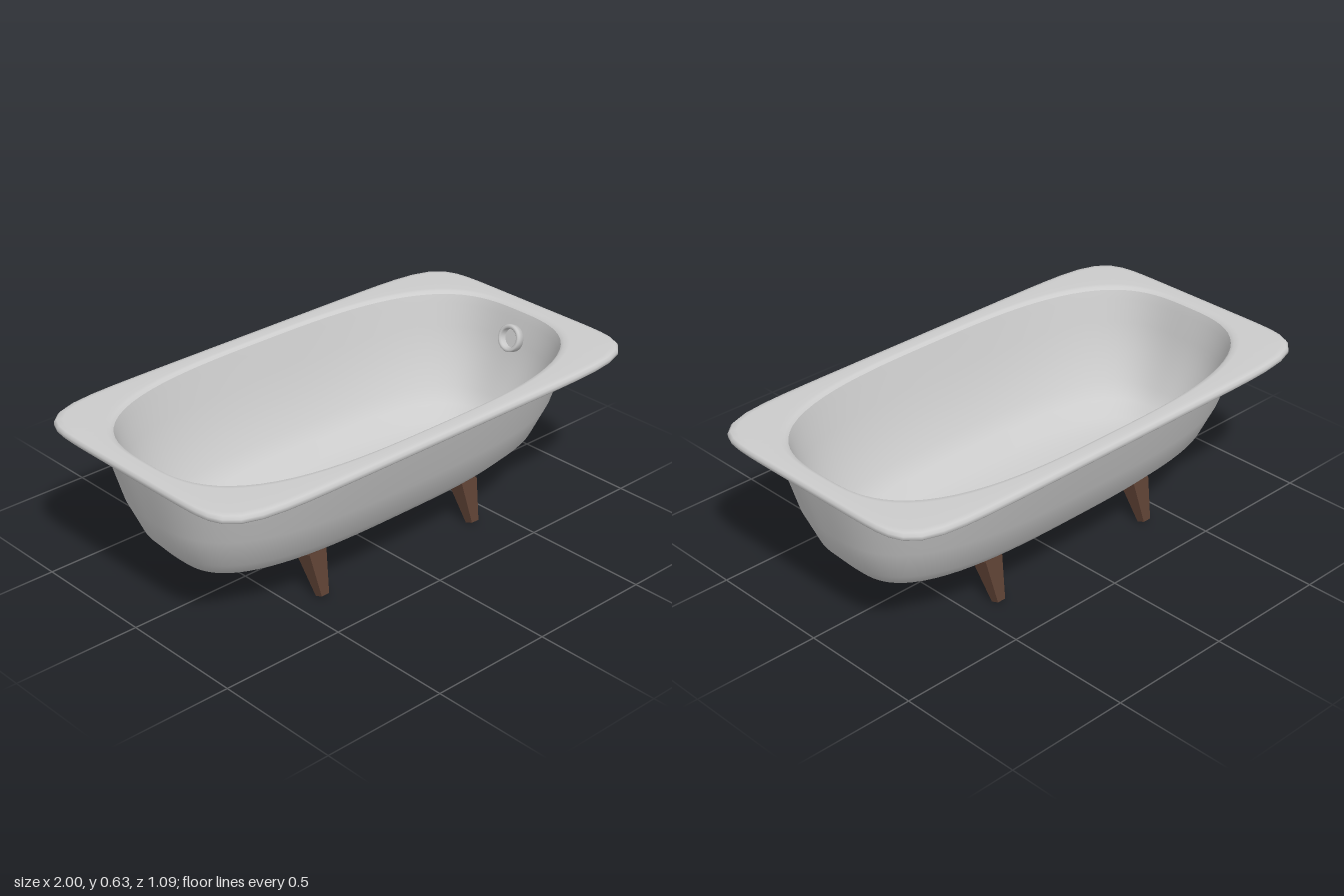
import * as THREE from 'three';

const SEGMENTS = 96;
const enamel = new THREE.MeshStandardMaterial({ color: 0xcccccc });
const wood = new THREE.MeshStandardMaterial({ color: 0x5c4033, flatShading: true });

// Skin a stack of superellipse rings [halfLength, halfWidth, y, squareness]
function loft(name, rings) {
  const positions = [], index = [];
  for (const [a, b, y, n] of rings) {
    for (let j = 0; j < SEGMENTS; j++) {
      const t = (j / SEGMENTS) * Math.PI * 2;
      const c = Math.cos(t), s = Math.sin(t);
      const r = Math.pow(Math.abs(c) ** n + Math.abs(s) ** n, -1 / n);
      positions.push(a * r * c, y, b * r * s);
    }
  }
  for (let i = 0; i < rings.length - 1; i++) {
    for (let j = 0; j < SEGMENTS; j++) {
      const k = (j + 1) % SEGMENTS;
      const p = i * SEGMENTS + j, q = i * SEGMENTS + k;
      index.push(p, p + SEGMENTS, q, q, p + SEGMENTS, q + SEGMENTS);
    }
  }
  const geometry = new THREE.BufferGeometry();
  geometry.setAttribute('position', new THREE.Float32BufferAttribute(positions, 3));
  geometry.setIndex(index);
  geometry.computeVertexNormals();
  const mesh = new THREE.Mesh(geometry, enamel);
  mesh.name = name;
  return mesh;
}

// Square leg tapering to the foot, splayed outwards
function leg(x, side) {
  const top = new THREE.Vector3(x, 0.165, side * 0.232);
  const foot = new THREE.Vector3(x, 0.008, side * 0.289);
  const axis = top.clone().sub(foot);
  const geometry = new THREE.BoxGeometry(0.08, axis.length(), 0.075);
  const p = geometry.attributes.position;
  for (let i = 0; i < p.count; i++) {
    if (p.getY(i) < 0) p.setXYZ(i, p.getX(i) * 0.44, p.getY(i), p.getZ(i) * 0.46);
  }
  geometry.computeVertexNormals();
  const mesh = new THREE.Mesh(geometry, wood);
  mesh.name = 'leg';
  mesh.position.copy(top).add(foot).multiplyScalar(0.5);
  mesh.quaternion.setFromUnitVectors(new THREE.Vector3(0, 1, 0), axis.normalize());
  return mesh;
}

export function createModel() {
  const tub = new THREE.Group();
  tub.name = 'bathtub';

  // Outside of the tub, from the bottom up
  tub.add(loft('outerShell', [
    [0, 0, 0.135, 3],
    [0.45, 0.08, 0.135, 3],
    [0.68, 0.17, 0.135, 3],
    [0.79, 0.29, 0.19, 3],
    [0.85, 0.36, 0.26, 3],
    [0.905, 0.42, 0.39, 3],
    [0.96, 0.49, 0.605, 3],
  ]));

  // Flat rim with a rounded outer edge
  tub.add(loft('rim', [
    [0.93, 0.475, 0.6, 3],
    [0.975, 0.52, 0.6, 8.5],
    [0.993, 0.538, 0.602, 8.5],
    [1, 0.545, 0.61, 8.5],
    [1, 0.545, 0.622, 8.5],
    [0.993, 0.538, 0.632, 8.5],
    [0.975, 0.52, 0.635, 8.5],
    [0.935, 0.487, 0.635, 3.2],
    [0.925, 0.478, 0.633, 3],
    [0.914, 0.468, 0.624, 3],
  ]));

  // Inside of the tub, from the rim down
  tub.add(loft('basin', [
    [0.914, 0.468, 0.624, 3],
    [0.904, 0.458, 0.59, 3],
    [0.884, 0.432, 0.5, 3],
    [0.86, 0.4, 0.4, 3],
    [0.805, 0.345, 0.28, 3],
    [0.76, 0.295, 0.225, 3],
    [0.69, 0.225, 0.183, 3],
    [0.6, 0.15, 0.163, 3],
    [0.35, 0.07, 0.155, 3],
    [0, 0, 0.155, 3],
  ]));

  // Overflow ring on the inside end wall
  const ringProfile = [[0.038, -0.018], [0.055, -0.018], [0.055, 0.008], [0.051, 0.013], [0.043, 0.013], [0.038, 0.008], [0.038, -0.018]];
  const ring = new THREE.Mesh(
    new THREE.LatheGeometry(ringProfile.map(([r, y]) => new THREE.Vector2(r, y)), 32),
    enamel,
  );
  ring.name = 'overflowRing';
  ring.position.set(0.87, 0.52, 0);
  ring.rotation.z = Math.PI / 2 - 0.28;
  tub.add(ring);

  // Four splayed legs
  for (const x of [-0.383, 0.383]) for (const side of [-1, 1]) tub.add(leg(x, side));

  return tub;
}
